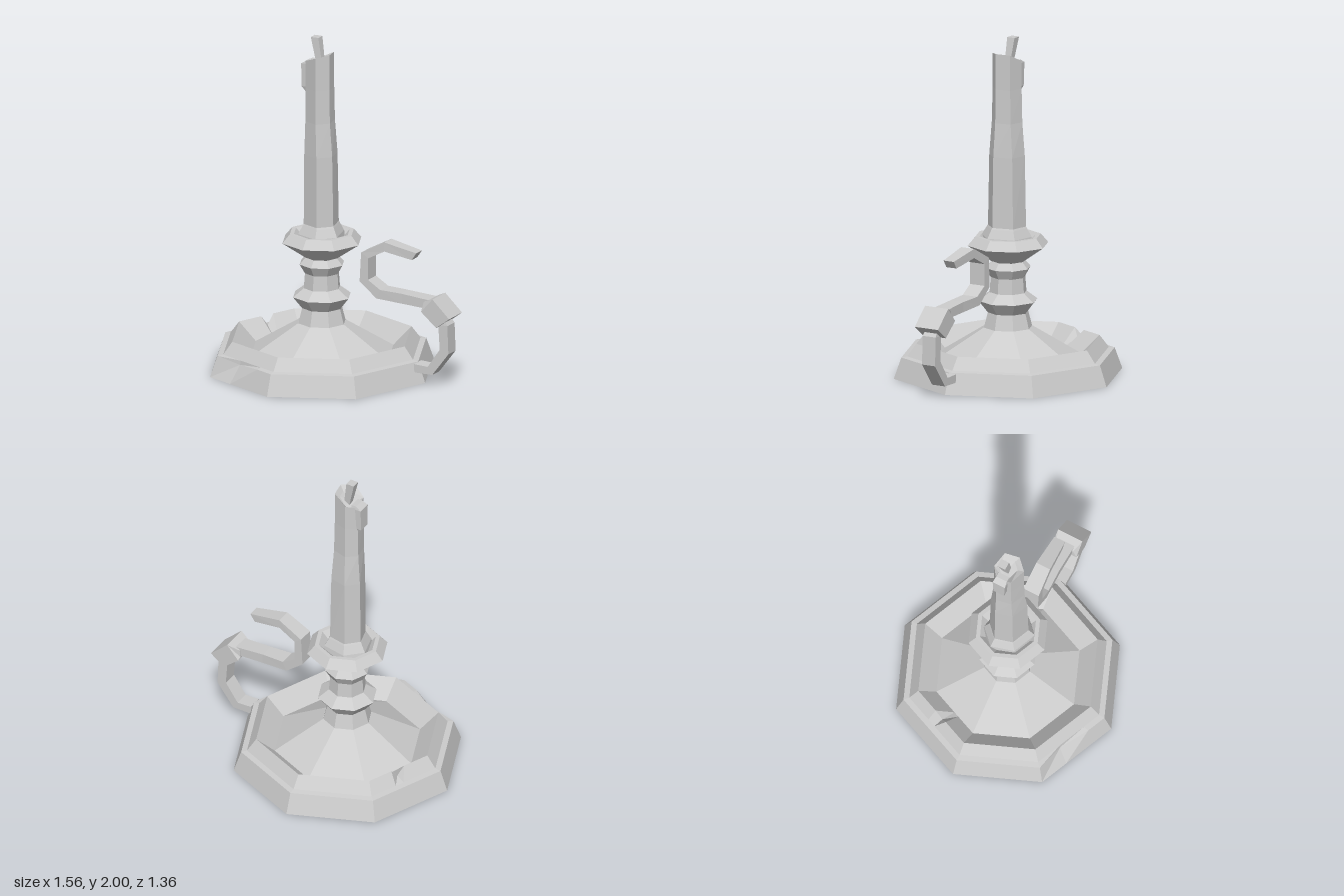
import * as THREE from 'three';

const material = new THREE.MeshStandardMaterial({ color: 0xcccccc, flatShading: true });
const AXIS = -0.1; // x of the candlestick's centre line

// Joins rings of [x, y, z] points with flat faces and closes both ends.
function loft(name, rings) {
  const pos = [];
  const tri = (...pts) => pts.forEach((p) => pos.push(...p));
  const centre = (ring) => [0, 1, 2].map((k) => ring.reduce((s, p) => s + p[k], 0) / ring.length);
  const n = rings[0].length;
  for (let j = 0; j < n; j++) {
    const k = (j + 1) % n;
    for (let i = 0; i + 1 < rings.length; i++) {
      const lo = rings[i], hi = rings[i + 1];
      tri(lo[j], hi[j], lo[k]);
      tri(lo[k], hi[j], hi[k]);
    }
    const first = rings[0], last = rings[rings.length - 1];
    tri(centre(first), first[j], first[k]);
    tri(centre(last), last[k], last[j]);
  }
  const geometry = new THREE.BufferGeometry();
  geometry.setAttribute('position', new THREE.Float32BufferAttribute(pos, 3));
  geometry.computeVertexNormals();
  const mesh = new THREE.Mesh(geometry, material);
  mesh.name = name;
  return mesh;
}

// Point on an octagon's outline; t counts corners, fractions lie along an edge.
function octagon(r, y, t) {
  const a = Math.floor(t) * Math.PI / 4, b = a + Math.PI / 4, f = t % 1;
  return [
    AXIS + r * (Math.cos(a) * (1 - f) + Math.cos(b) * f), y,
    r * (Math.sin(a) * (1 - f) + Math.sin(b) * f),
  ];
}

// Square-section bar: each station is [outerX, outerY, innerX, innerY, halfWidth].
function bar(name, stations) {
  return loft(name, stations.map(([ox, oy, ix, iy, w]) => [
    [ox, oy, -w], [ox, oy, w], [ix, iy, w], [ix, iy, -w],
  ]));
}

export function createModel() {
  const model = new THREE.Group();
  model.name = 'candlestick';

  // Stepped dish with a chip in the lower edge and a nick in the rim
  const corners = [0, 1, 2, 2.25, 2.65, 3, 4, 4.4, 4.5, 4.62, 5, 6, 7];
  const dishProfile = [
    [0.68, 0], [0.635, 0.125], [0.6, 0.13], [0.545, 0.203], [0.435, 0.1], [0.145, 0.28],
  ];
  model.add(loft('dish', dishProfile.map(([r, y], i) => corners.map((t) => {
    if (i === 1 && t === 2.65) return octagon(0.605, 0.105, t);
    if (i === 3 && t === 4.5) return octagon(0.535, 0.145, t);
    return octagon(r, y, t);
  }))));

  // Turned stem ending in the drip cup
  const stemProfile = [
    [0.145, 0.275], [0.12, 0.37], [0.175, 0.44], [0.11, 0.49], [0.103, 0.58],
    [0.135, 0.635], [0.1, 0.675], [0.24, 0.772], [0.195, 0.825], [0.17, 0.825], [0.12, 0.775],
  ];
  model.add(loft('stemAndCup', stemProfile.map(([r, y]) =>
    [0, 1, 2, 3, 4, 5, 6, 7].map((t) => octagon(r, y, t)))));

  // Uneven six-sided candle; the two end sections are blended up its height
  const foot = [[0, 0.045], [-0.07, 0.12], [-0.18, 0.075], [-0.21, -0.03], [-0.14, -0.1], [-0.03, -0.08]];
  const head = [[-0.03, 0.04], [-0.09, 0.1], [-0.175, 0.06], [-0.19, -0.03], [-0.13, -0.075], [-0.045, -0.05]];
  const topY = [1.912, 1.9, 1.865, 1.845, 1.865, 1.91];
  const section = (f, y, s = 1) => foot.map(([x, z], i) => [
    AXIS + (x + (head[i][0] - x) * f - AXIS) * s,
    typeof y === 'number' ? y : y[i],
    (z + (head[i][1] - z) * f) * s,
  ]);
  model.add(loft('candle', [
    section(0, 0.77, 1.4), section(0, 0.82, 1.3), section(0, 0.87, 1.05), section(0.03, 0.88),
    section(0.3, 1.3), section(0.85, 1.5), section(1, 1.7), section(1, topY),
    section(1, topY.map((y) => y - 0.025), 0.6),
  ]));

  // Wax run down the side of the candle
  const drip = (x, y, w) => [[-0.15, y, -w], [-0.15, y, w], [x, y, w], [x, y, -w]];
  model.add(loft('waxDrip', [
    drip(-0.18, 1.65, 0.02), drip(-0.215, 1.7, 0.035), drip(-0.215, 1.84, 0.04), drip(-0.18, 1.86, 0.035),
  ]));

  // Leaning wick
  const wick = (x, y, z, w) => [
    [x + w, y, z - w], [x + w, y, z + w], [x - w, y, z + w], [x - w, y, z - w],
  ];
  model.add(loft('wick', [wick(-0.105, 1.83, 0, 0.018), wick(-0.14, 2, -0.01, 0.025)]));

  // Curled handle: upper scroll, knuckle, lower arm
  const handle = new THREE.Group();
  handle.name = 'handle';
  handle.add(bar('handleScroll', [
    [0.54, 0.79, 0.51, 0.745, 0.035], [0.335, 0.83, 0.335, 0.775, 0.045],
    [0.185, 0.75, 0.23, 0.72, 0.05], [0.175, 0.575, 0.23, 0.59, 0.05],
    [0.285, 0.485, 0.31, 0.54, 0.05], [0.45, 0.475, 0.45, 0.535, 0.045],
    [0.63, 0.468, 0.63, 0.522, 0.05],
  ]));
  handle.add(bar('handleKnuckle', [
    [0.595, 0.465, 0.6, 0.51, 0.055], [0.595, 0.455, 0.67, 0.54, 0.08],
    [0.695, 0.37, 0.78, 0.435, 0.08],
  ]));
  handle.add(bar('handleArm', [
    [0.53, 0.07, 0.53, 0.12, 0.045], [0.65, 0.07, 0.62, 0.115, 0.045],
    [0.757, 0.21, 0.7, 0.23, 0.045], [0.75, 0.38, 0.69, 0.38, 0.045],
    [0.72, 0.42, 0.68, 0.41, 0.04],
  ]));
  model.add(handle);

  return model;
}
